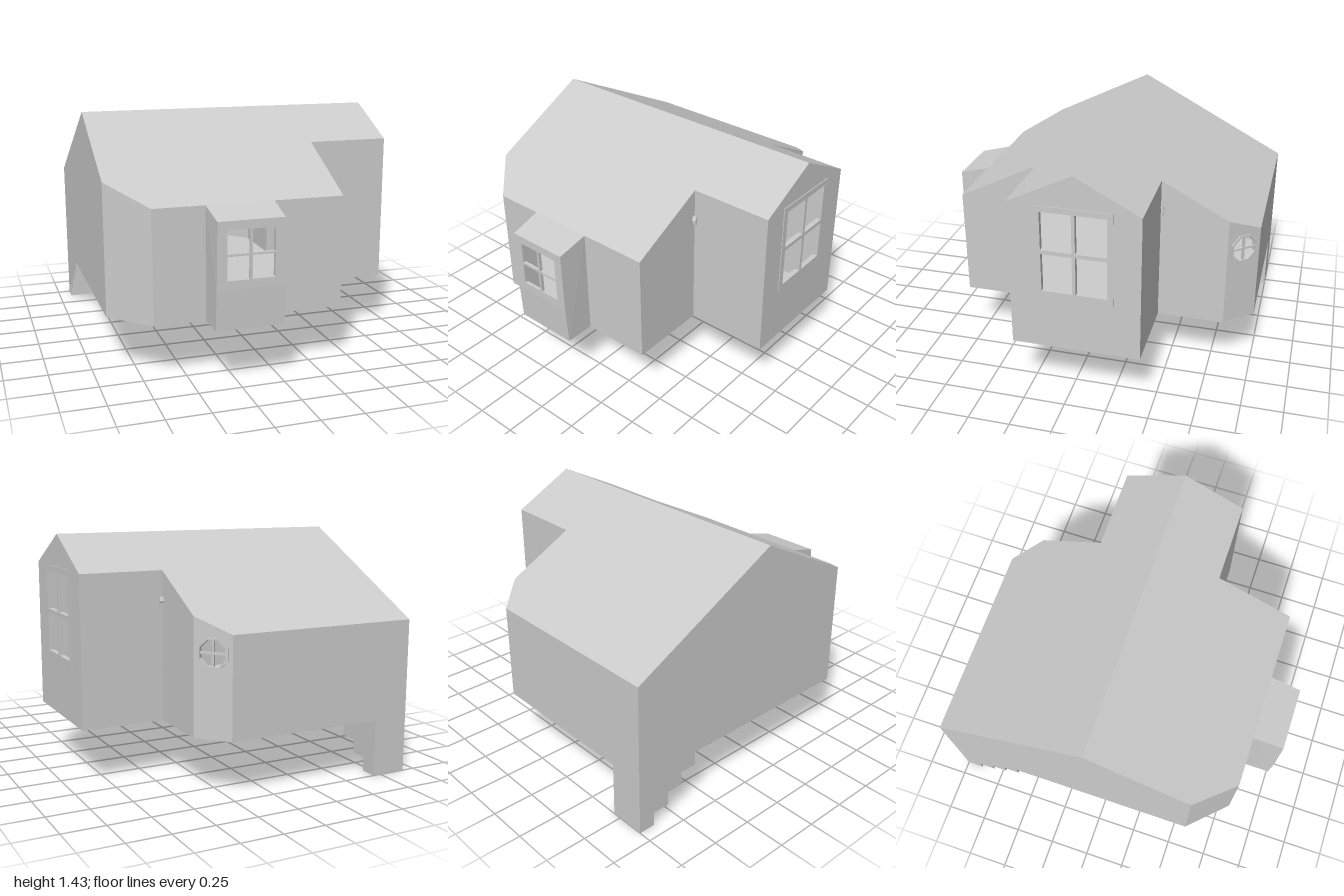
import * as THREE from 'three';

const FLOOR = 0.34, RIDGE = 1.43, RIDGE_Z = -0.05;
const roofY = z => RIDGE - (z > RIDGE_Z ? (z - RIDGE_Z) * 0.5 : (RIDGE_Z - z) * 0.526);

const material = new THREE.MeshStandardMaterial({ color: 0xcccccc, flatShading: true, side: THREE.DoubleSide });

const points = list => list.map(([x, y]) => new THREE.Vector2(x, y));
function shapeOf(outline, holes = []) {
  const shape = new THREE.Shape(points(outline));
  for (const h of holes) shape.holes.push(new THREE.Path(points(h)));
  return shape;
}
const rect = (x0, y0, x1, y1) => [[x0, y0], [x1, y0], [x1, y1], [x0, y1]];
const octagon = (r, cy) => Array.from({ length: 8 }, (_, i) => {
  const a = (i + 0.5) * Math.PI / 4;
  return [r * Math.cos(a), cy + r * Math.sin(a)];
});

function add(parent, name, geometry) {
  const mesh = new THREE.Mesh(geometry, material);
  mesh.name = name;
  parent.add(mesh);
  return mesh;
}

// Flat convex polygon from corners listed counter-clockwise as seen from outside
function polygon(...corners) {
  const g = new THREE.BufferGeometry();
  const v = [];
  for (let i = 1; i < corners.length - 1; i++) v.push(...corners[0], ...corners[i], ...corners[i + 1]);
  g.setAttribute('position', new THREE.Float32BufferAttribute(v, 3));
  g.computeVertexNormals();
  return g;
}

// Plan outline of [x, z] points, each lifted to a height given by its z
function planSheet(outline, height, holes = []) {
  const flip = list => list.map(([x, z]) => [x, -z]);
  const g = new THREE.ShapeGeometry(shapeOf(flip(outline), holes.map(flip))).rotateX(-Math.PI / 2);
  const p = g.attributes.position;
  for (let i = 0; i < p.count; i++) p.setY(i, height(p.getZ(i)));
  g.computeVertexNormals();
  return g;
}

// Upright wall between two plan points, reaching the roof; u = 0 is its middle
function addWall(parent, name, [ax, az], [bx, bz], holes = []) {
  const group = new THREE.Group();
  group.name = name;
  group.position.set((ax + bx) / 2, 0, (az + bz) / 2);
  group.rotation.y = Math.atan2(az - bz, bx - ax);
  const len = Math.hypot(bx - ax, bz - az), h = len / 2;
  const outline = [[-h, FLOOR], [h, FLOOR], [h, roofY(bz)]];
  if ((az - RIDGE_Z) * (bz - RIDGE_Z) < 0) outline.push([-h + len * (RIDGE_Z - az) / (bz - az), RIDGE]);
  outline.push([-h, roofY(az)]);
  add(group, name + 'Panel', new THREE.ShapeGeometry(shapeOf(outline, holes)));
  parent.add(group);
  return group;
}

// Frame with four panes cut out, its face just proud of the wall
function addFrame(parent, name, outline, panes, depth, proud) {
  const g = new THREE.ExtrudeGeometry(shapeOf(outline, panes), { depth, bevelEnabled: false });
  g.translate(0, 0, proud - depth);
  return add(parent, name, g);
}
function fourPanes(inner, outer, low, mid, gap, high) {
  const out = [];
  for (const [a, b] of [[-outer, -inner], [inner, outer]])
    for (const [c, d] of [[low, mid - gap], [mid + gap, high]]) out.push(rect(a, c, b, d));
  return out;
}

export function createModel() {
  const house = new THREE.Group();
  house.name = 'house';

  // Gable wall window and corner window openings
  const gableOpening = rect(-0.225, 0.67, 0.225, 1.238);
  const cornerOpening = octagon(0.095, 0.822);

  // Outer walls, counter-clockwise round the plan
  const wall = (name, a, b, holes) => addWall(house, name, a, b, holes);
  wall('frontWallRight', [-0.7, 0.81], [-0.4, 0.81]);
  wall('frontWallLeft', [0, 0.81], [0.42, 0.81]);
  wall('frontReturnWall', [0.42, 0.81], [0.42, 0.33]);
  wall('wingFrontWall', [0.42, 0.33], [0.92, 0.33]);
  const gable = wall('wingGableWall', [0.92, 0.33], [0.92, -0.43], [gableOpening]);
  wall('wingBackWall', [0.92, -0.43], [0.42, -0.43]);
  wall('backReturnWall', [0.42, -0.43], [0.42, -0.83]);
  const corner = wall('backCornerWall', [0.42, -0.83], [0.27, -1], [cornerOpening]);
  wall('backWall', [0.27, -1], [-0.92, -1]);
  wall('sideGableWall', [-0.92, -1], [-0.92, 0.58]);
  wall('frontCornerWall', [-0.92, 0.58], [-0.7, 0.81]);

  // Large gable window
  addFrame(gable, 'gableWindowFrame', gableOpening, fourPanes(0.01, 0.19, 0.71, 0.957, 0.012, 1.203), 0.03, 0.005);

  // Octagonal window with a cross of bars
  addFrame(corner, 'octagonWindowFrame', cornerOpening, [octagon(0.08, 0.822)], 0.03, 0.008);
  add(corner, 'octagonWindowBar', new THREE.BoxGeometry(0.012, 0.155, 0.015)).position.set(0, 0.822, -0.005);
  add(corner, 'octagonWindowBar', new THREE.BoxGeometry(0.155, 0.012, 0.015)).position.set(0, 0.822, -0.005);

  // Roof slopes meeting at the ridge
  add(house, 'frontRoof', planSheet([[-0.92, RIDGE_Z], [-0.92, 0.58], [-0.7, 0.81], [0.42, 0.81],
    [0.42, 0.33], [0.92, 0.33], [0.92, RIDGE_Z]], roofY));
  add(house, 'backRoof', planSheet([[-0.92, RIDGE_Z], [0.92, RIDGE_Z], [0.92, -0.43], [0.42, -0.43],
    [0.42, -0.83], [0.27, -1], [-0.92, -1]], roofY));

  // Floor, open over the stairwell in the back corner
  add(house, 'floor', planSheet([[-0.92, 0.58], [-0.7, 0.81], [-0.4, 0.81], [-0.4, 0.99], [0, 0.99], [0, 0.81],
    [0.42, 0.81], [0.42, 0.33], [0.92, 0.33], [0.92, -0.43], [0.42, -0.43], [0.42, -0.83], [0.27, -1],
    [-0.7, -1], [-0.7, -0.59], [-0.92, -0.59]], () => FLOOR));

  // Bay: tapered window panel, sloped apron, sides and roof
  const bay = new THREE.Group();
  bay.name = 'bay';
  bay.position.set(-0.2, 0, 0);
  house.add(bay);
  const bottom = 0.2, sill = 0.197, top = 0.192, sillY = 0.57, topY = 0.95, frontZ = 1;
  addFrame(bay, 'bayWindowFrame', [[-sill, sillY], [sill, sillY], [top, topY], [-top, topY]],
    fourPanes(0.007, 0.137, 0.62, 0.76, 0.006, 0.9), 0.02, frontZ);
  add(bay, 'bayApron', polygon([-bottom, FLOOR, 0.99], [bottom, FLOOR, 0.99], [sill, sillY, frontZ], [-sill, sillY, frontZ]));
  add(bay, 'bayRoof', polygon([-top, topY, frontZ], [top, topY, frontZ], [0.2, 1, 0.81], [-0.2, 1, 0.81]));
  for (const s of [-1, 1]) {
    const side = [[s * bottom, FLOOR, 0.99], [s * 0.2, FLOOR, 0.81], [s * 0.2, 1, 0.81], [s * top, topY, frontZ], [s * sill, sillY, frontZ]];
    add(bay, 'baySide', polygon(...(s > 0 ? side : side.reverse())));
  }

  // Stairwell dropping below the floor
  const stairs = new THREE.Group();
  stairs.name = 'stairs';
  house.add(stairs);
  const x0 = -0.92, x1 = -0.7, rise = FLOOR / 4, run = 0.1025;
  add(stairs, 'stairBack', polygon([x1, 0, -1], [x0, 0, -1], [x0, FLOOR, -1], [x1, FLOOR, -1]));
  for (let i = 0; i < 4; i++) {
    const y = i * rise, za = -1 + i * run, zb = za + run;
    add(stairs, 'tread', polygon([x0, y, za], [x1, y, za], [x1, y, zb], [x0, y, zb]));
    add(stairs, 'riser', polygon([x0, y, zb], [x1, y, zb], [x1, y + rise, zb], [x0, y + rise, zb]));
    add(stairs, 'stairSide', polygon([x1, y, zb], [x1, y, -1], [x1, y + rise, -1], [x1, y + rise, zb]));
    add(stairs, 'stairSide', polygon([x0, y, -1], [x0, y, zb], [x0, y + rise, zb], [x0, y + rise, -1]));
  }

  // Small wall lamps in the two inner corners of the wing
  for (const [z, s] of [[0.33, 1], [-0.43, -1]]) {
    const lamp = new THREE.Group();
    lamp.name = 'wallLamp';
    lamp.position.set(0.431, 0, z);
    add(lamp, 'lampArm', new THREE.BoxGeometry(0.018, 0.045, 0.012)).position.set(-0.001, 1.04, s * 0.009);
    const head = add(lamp, 'lampHead', new THREE.BoxGeometry(0.024, 0.03, 0.014));
    head.position.set(0.002, 1.062, s * 0.014);
    head.rotation.x = -s * 0.5;
    house.add(lamp);
  }
  return house;
}
